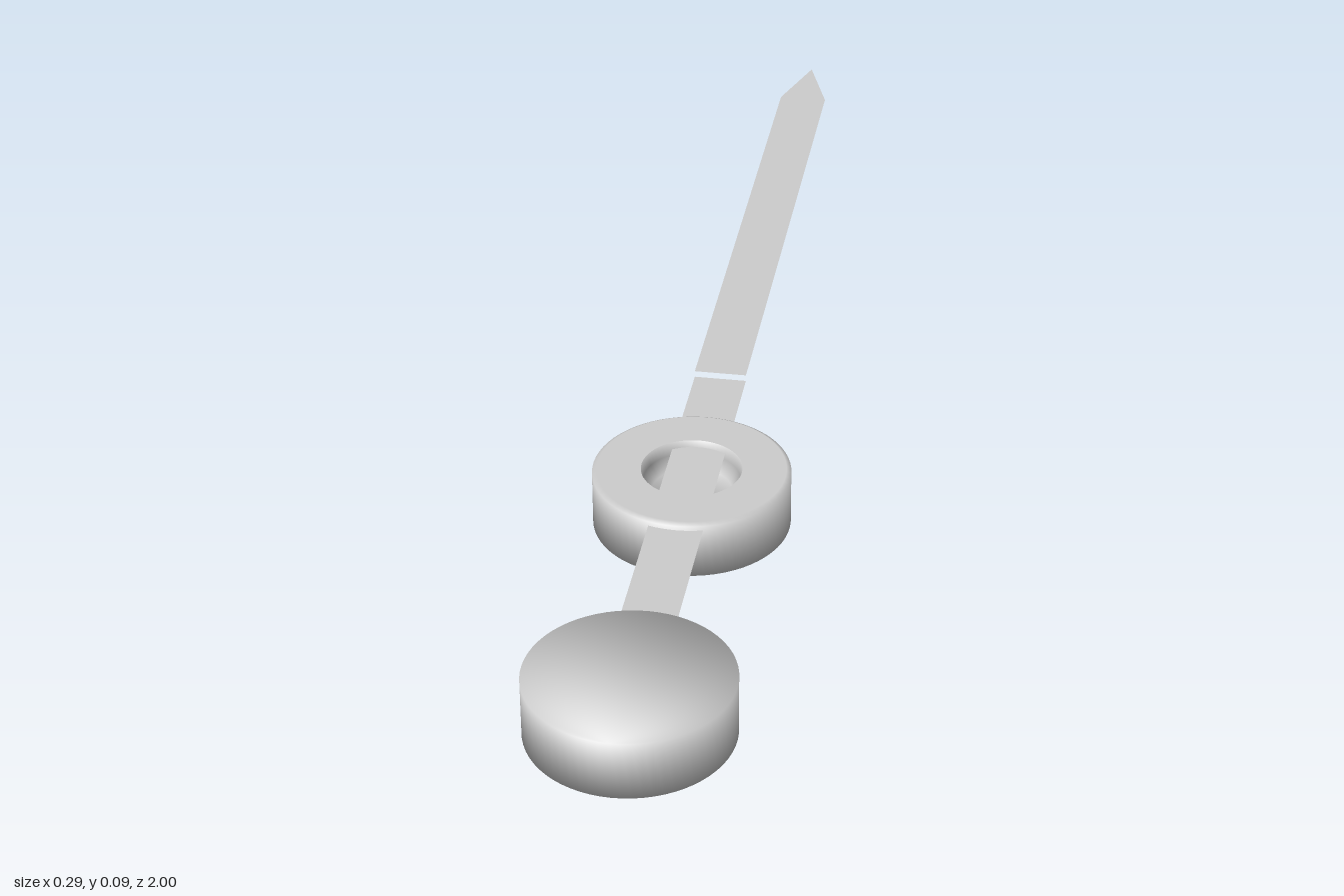
import * as THREE from 'three';

const SIDES = 64;
const S = Math.SQRT1_2;

// Surface of revolution strip between two rings; each ring is [radius, y, radial normal, upward normal]
function band(a, b) {
  const pos = [], nor = [], idx = [];
  for (let i = 0; i <= SIDES; i++) {
    const t = (i / SIDES) * Math.PI * 2, s = Math.sin(t), c = Math.cos(t);
    for (const [r, y, nr, ny] of [a, b]) {
      pos.push(r * s, y, r * c);
      nor.push(nr * s, ny, nr * c);
    }
    if (i < SIDES) {
      const k = i * 2;
      idx.push(k, k + 2, k + 1, k + 1, k + 2, k + 3);
    }
  }
  return build(pos, nor, idx);
}

// Disc without a centre point, its rim normals leaning by [radial, up]
function disc(r, y, nr, ny) {
  const pos = [], nor = [], idx = [];
  for (let i = 0; i < SIDES; i++) {
    const t = (i / SIDES) * Math.PI * 2, s = Math.sin(t), c = Math.cos(t);
    pos.push(r * s, y, r * c);
    nor.push(nr * s, ny, nr * c);
    if (i > 1) idx.push(0, ...(ny > 0 ? [i - 1, i] : [i, i - 1]));
  }
  return build(pos, nor, idx);
}

function build(pos, nor, idx) {
  const g = new THREE.BufferGeometry();
  g.setAttribute('position', new THREE.Float32BufferAttribute(pos, 3));
  g.setAttribute('normal', new THREE.Float32BufferAttribute(nor, 3));
  g.setIndex(idx);
  return g;
}

// Flat outline of [x, z] points laid at height y
function plate(points, y) {
  const shape = new THREE.Shape(points.map(([x, z]) => new THREE.Vector2(x, -z)));
  return new THREE.ShapeGeometry(shape).rotateX(-Math.PI / 2).translate(0, y, 0);
}

export function createModel() {
  const model = new THREE.Group();
  model.name = 'clockHand';

  const metal = new THREE.MeshStandardMaterial({ color: 0xcccccc });
  metal.name = 'lightGreyMetal';
  metal.side = THREE.DoubleSide;

  const R = 0.147, H = 0.09, W = 0.04;

  const addPart = (name, z, geometries) => {
    const group = new THREE.Group();
    group.name = name;
    group.position.z = z;
    geometries.forEach((g, i) => {
      const mesh = new THREE.Mesh(g, metal);
      mesh.name = `${name}Surface${i + 1}`;
      group.add(mesh);
    });
    model.add(group);
  };

  // Solid round counterweight with soft rims
  addPart('counterweight', 1 - R, [
    band([R, 0, S, -S], [R, H, S, S]),
    disc(R, H, S, S),
    disc(R, 0, S, -S),
  ]);

  // Hub: closed below, flat ring on top around a recess
  addPart('hub', 0.345, [
    disc(R, 0, S, -S),
    band([R, 0, S, -S], [R, H - 0.004, S, S]),
    band([R, H - 0.004, S, S], [R - 0.007, H, 0, 1]),
    band([R - 0.007, H, 0, 1], [0.075, H, 0, 1]),
    band([0.075, H, -S, S], [0.072, 0.07, -1, 0]),
    band([0.072, 0.07, -1, 0], [0.06, 0.05, -S, S]),
    disc(0.06, 0.05, -S, S),
  ]);

  // Thin shaft through the hub into the counterweight
  addPart('shaft', 0, [
    plate([[-W, 0.72], [W, 0.72], [W, 0.075], [-W, 0.075]], 0.079),
  ]);

  // Long pointed blade, a small step higher than the shaft
  addPart('blade', 0, [
    plate([[-W, 0.075], [W, 0.075], [W, -0.88], [0, -1], [-W, -0.88]], 0.089),
  ]);

  return model;
}
